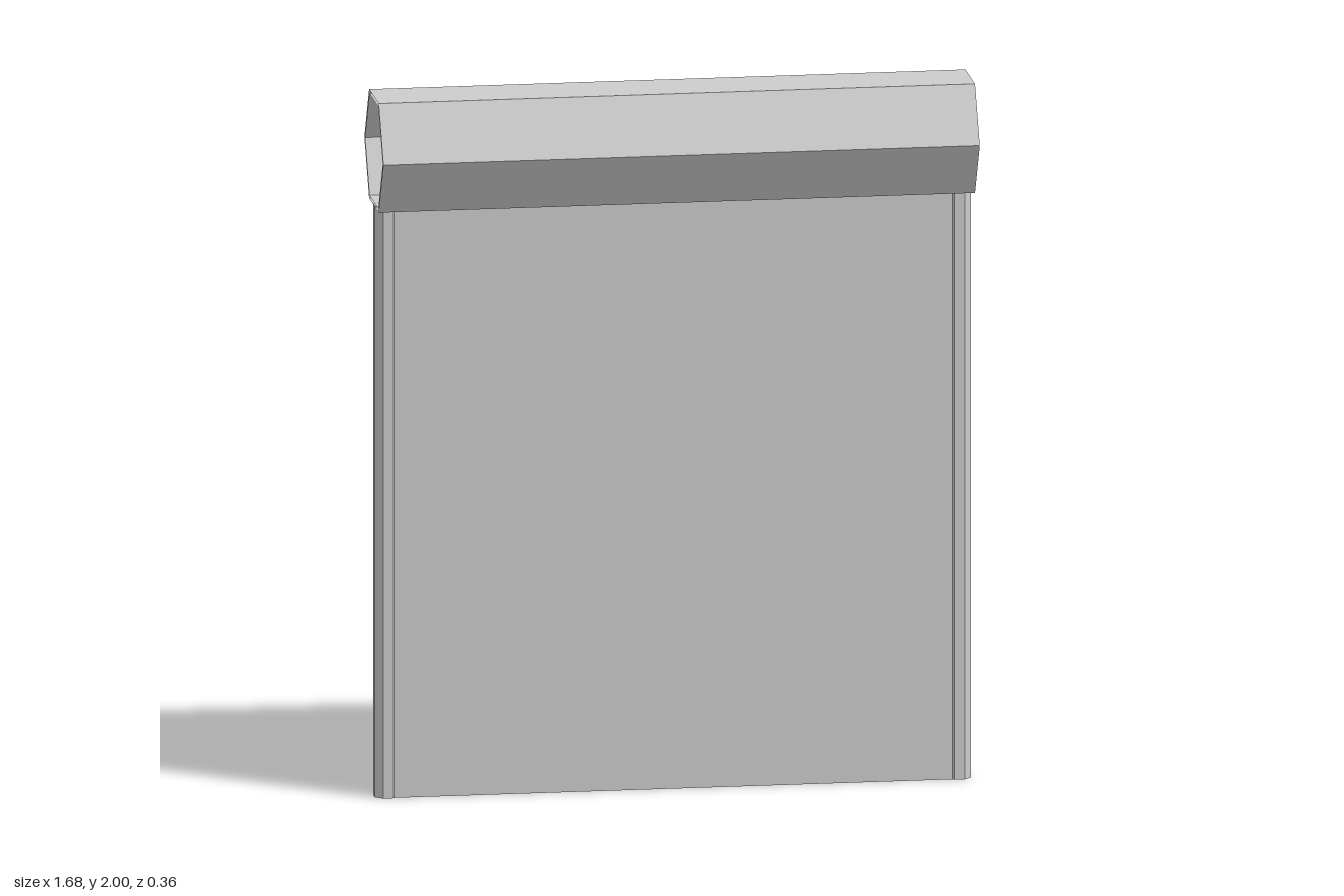
import * as THREE from 'three';

export function createModel() {
  const group = new THREE.Group();
  const grey = new THREE.MeshStandardMaterial({ color: 0xcccccc, side: THREE.DoubleSide, flatShading: true });
  grey.name = 'light grey';

  const WIDTH = 1.68, DROP = 1.69, RAIL = 0.035;

  function add(name, geometry, x, y, z) {
    const mesh = new THREE.Mesh(geometry, grey);
    mesh.name = name;
    mesh.position.set(x, y, z);
    group.add(mesh);
  }

  // open-ended hexagonal tube along x, flat side up
  function hexTube(radius) {
    const g = new THREE.CylinderGeometry(radius, radius, WIDTH, 6, 1, true);
    return g.rotateZ(Math.PI / 2);
  }

  // roller housing: outer shell and inner lining, both open at the ends
  add('housingShell', hexTube(0.18), 0, 1.844, 0);
  add('housingLining', hexTube(0.168), 0, 1.844, 0);

  // shutter curtain
  add('curtain', new THREE.BoxGeometry(WIDTH - 2 * RAIL, DROP, 0.055), 0, DROP / 2, 0.0025);

  // octagonal guide rails down both sides
  for (const side of [-1, 1]) {
    const rail = new THREE.CylinderGeometry(RAIL / Math.cos(Math.PI / 8), RAIL / Math.cos(Math.PI / 8), DROP, 8);
    rail.rotateY(Math.PI / 8);
    add(side < 0 ? 'rightRail' : 'leftRail', rail, side * (WIDTH / 2 - RAIL), DROP / 2, 0);
  }
  return group;
}
